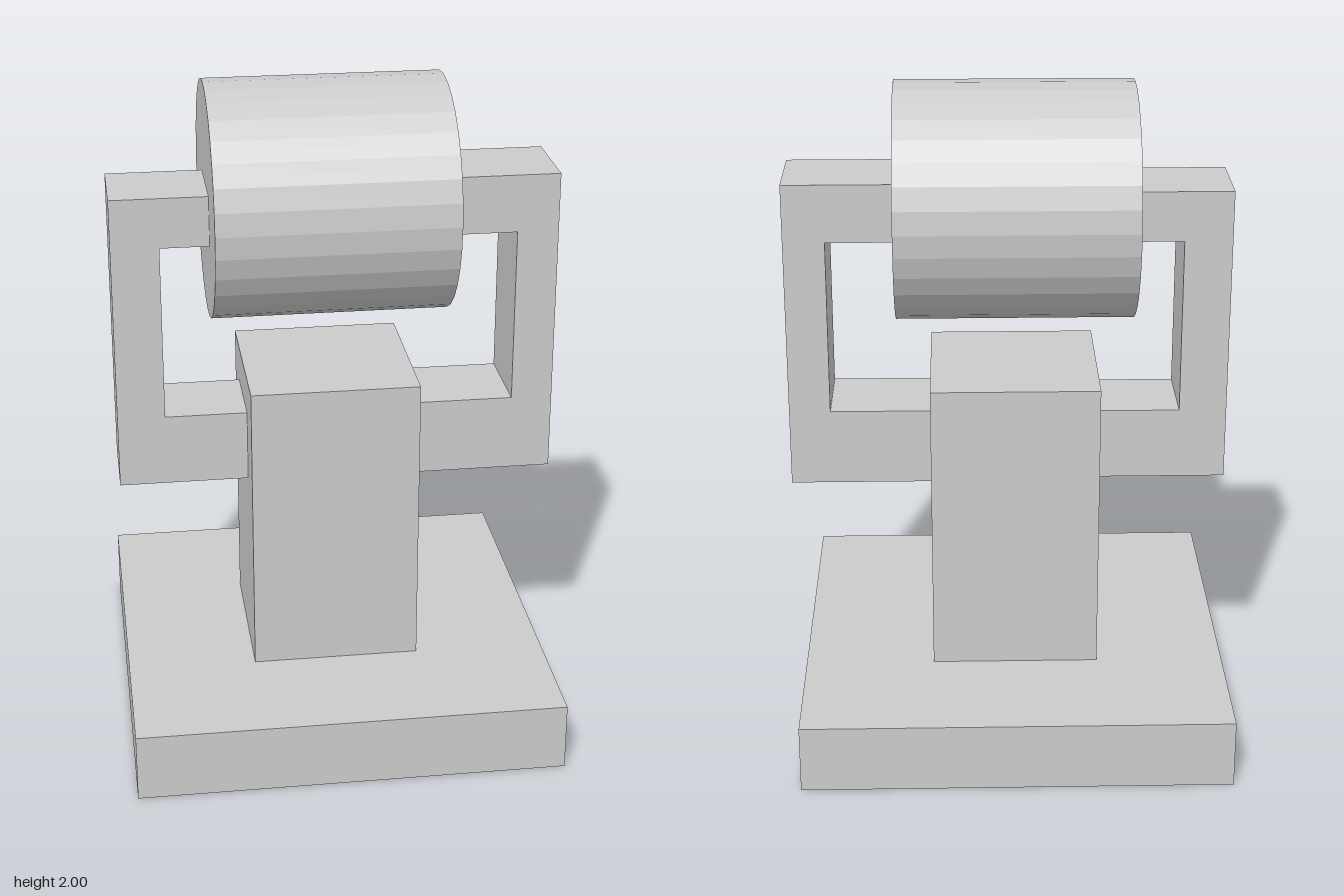
import * as THREE from 'three';

const material = new THREE.MeshStandardMaterial({ color: 0xcccccc, flatShading: true });

function addMesh(group, name, geometry) {
  const mesh = new THREE.Mesh(geometry, material);
  mesh.name = name;
  group.add(mesh);
  return mesh;
}

// Box given by its lower and upper limits on each axis
function addBox(group, name, [x0, x1], [y0, y1], [z0, z1]) {
  const mesh = addMesh(group, name, new THREE.BoxGeometry(x1 - x0, y1 - y0, z1 - z0));
  mesh.position.set((x0 + x1) / 2, (y0 + y1) / 2, (z0 + z1) / 2);
}

// C-shaped arm: outer and inner x of the upright, x where the upper and lower ends meet
// the drum and post, y limits of the whole arm and of its opening
function addArm(group, name, { outer, inner, upperEnd, lowerEnd, y, gap, z }) {
  const shape = new THREE.Shape([
    [outer, y[0]], [lowerEnd, y[0]], [lowerEnd, gap[0]], [inner, gap[0]],
    [inner, gap[1]], [upperEnd, gap[1]], [upperEnd, y[1]], [outer, y[1]],
  ].map(([px, py]) => new THREE.Vector2(px, py)));
  const geometry = new THREE.ExtrudeGeometry(shape, { depth: z[1] - z[0], bevelEnabled: false });
  addMesh(group, name, geometry).position.z = z[0];
}

export function createModel() {
  const model = new THREE.Group();
  model.name = 'drumOnStand';

  // Stand
  addBox(model, 'base', [-0.667, 0.632], [0, 0.21], [-0.65, 0.645]);
  addBox(model, 'post', [-0.275, 0.235], [0.2, 1.12], [-0.255, 0.26]);

  // Drum lying along x
  const drum = addMesh(model, 'drum', new THREE.CylinderGeometry(0.355, 0.355, 0.71, 32));
  drum.rotation.z = Math.PI / 2;
  drum.position.set(-0.021, 1.645, -0.015);

  // Arms, slightly sunk into the drum and post
  addArm(model, 'leftArm', {
    outer: 0.665, inner: 0.54, upperEnd: 0.32, lowerEnd: 0.22,
    y: [0.777, 1.727], gap: [1.012, 1.55], z: [-0.135, 0.135],
  });
  addArm(model, 'rightArm', {
    outer: -0.667, inner: -0.523, upperEnd: -0.36, lowerEnd: -0.26,
    y: [0.785, 1.698], gap: [1.005, 1.545], z: [-0.13, 0.125],
  });

  return model;
}
